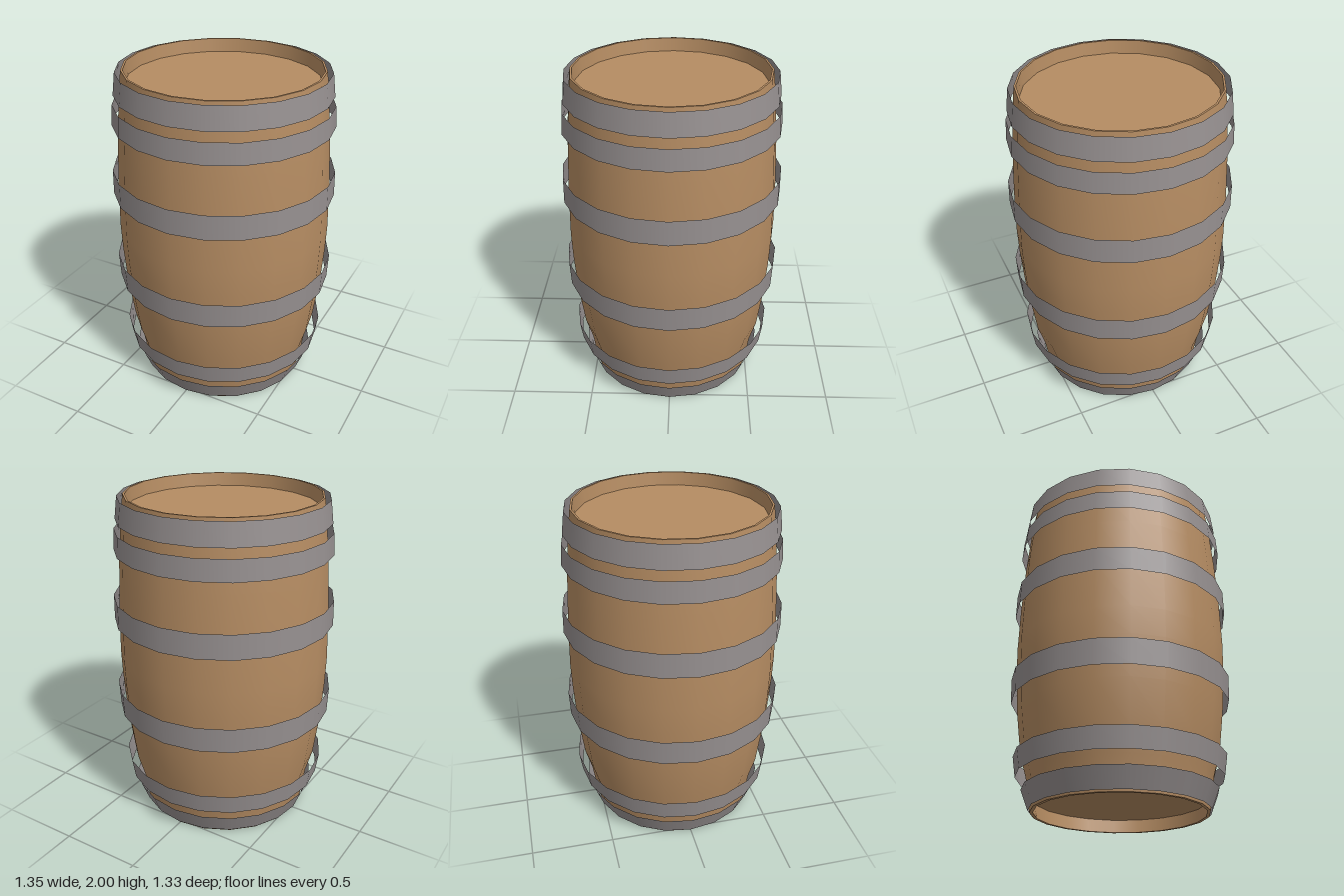
import * as THREE from 'three';

const SIDES = 20;

export function createModel() {
  const barrel = new THREE.Group();
  barrel.name = 'barrel';

  const wood = new THREE.MeshStandardMaterial({ color: 0xb58c62 });
  const metal = new THREE.MeshStandardMaterial({ color: 0x969090, side: THREE.DoubleSide });

  // Revolve a list of [radius, height] pairs around the y axis
  const lathe = (name, profile, material) => {
    const points = profile.map(([r, y]) => new THREE.Vector2(r, y));
    const mesh = new THREE.Mesh(new THREE.LatheGeometry(points, SIDES), material);
    mesh.name = name;
    barrel.add(mesh);
  };

  // Bulging outer wall
  lathe('staves', [
    [0.525, 0], [0.555, 0.2], [0.595, 0.34], [0.628, 0.6], [0.645, 0.85],
    [0.65, 1.02], [0.643, 1.3], [0.627, 1.6], [0.605, 1.85], [0.587, 2],
  ], wood);

  // Recessed heads with their rims, kept separate for crisp edges
  lathe('topRim', [[0.587, 2], [0.575, 2]], wood);
  lathe('topInnerWall', [[0.575, 2], [0.566, 1.92]], wood);
  lathe('topHead', [[0.566, 1.92], [0, 1.92]], wood);
  lathe('bottomHead', [[0, 0.08], [0.515, 0.08]], wood);
  lathe('bottomInnerWall', [[0.515, 0.08], [0.505, 0]], wood);
  lathe('bottomRim', [[0.505, 0], [0.525, 0]], wood);

  // Thin open hoops: bottom height, bottom radius, top height, top radius
  [
    [0.01, 0.535, 0.13, 0.582],
    [0.2, 0.619, 0.325, 0.638],
    [0.655, 0.668, 0.81, 0.675],
    [1.24, 0.674, 1.39, 0.671],
    [1.675, 0.657, 1.8, 0.648],
    [1.855, 0.639, 1.99, 0.622],
  ].forEach(([y0, r0, y1, r1], i) => lathe(`hoop${i + 1}`, [[r0, y0], [r1, y1]], metal));

  // Slightly oval in plan
  barrel.scale.z = 0.985;
  return barrel;
}
